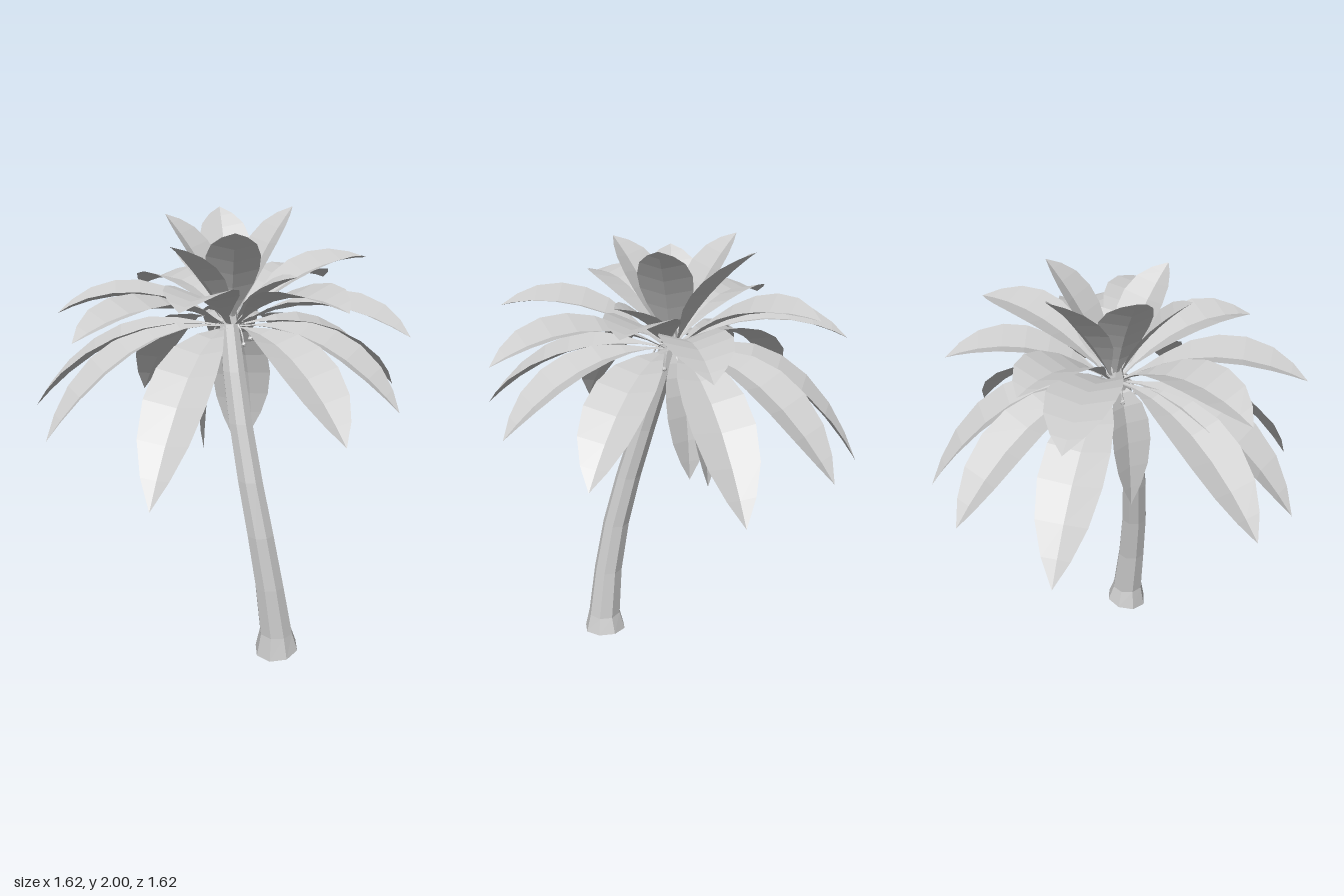
import * as THREE from 'three';

const grey = new THREE.MeshStandardMaterial({ color: 0xcccccc, side: THREE.DoubleSide, flatShading: true });
grey.name = 'pale grey';

// Skin a list of equal-length point rows into a surface
function skin(rows, closed) {
  const n = rows[0].length, index = [];
  for (let i = 0; i < rows.length - 1; i++) {
    for (let j = 0; j < (closed ? n : n - 1); j++) {
      const k = (j + 1) % n, a = i * n + j, b = i * n + k, c = a + n, d = b + n;
      index.push(a, c, b, b, c, d);
    }
  }
  const geo = new THREE.BufferGeometry().setFromPoints(rows.flat());
  geo.setIndex(index);
  geo.computeVertexNormals();
  return geo;
}

function add(group, name, geo) {
  const mesh = new THREE.Mesh(geo, grey);
  mesh.name = name;
  group.add(mesh);
  return mesh;
}

// Half width of a frond from stem to tip
const outline = [[0, 0.06], [0.12, 0.14], [0.24, 0.45], [0.38, 0.8], [0.52, 0.98],
  [0.66, 1], [0.8, 0.82], [0.91, 0.46], [1, 0]];

// Frond: a gutter-shaped blade along a bent midrib, tip given as x, y, z
function frond([x, y, z], reach, ctrlY, width) {
  const curve = new THREE.QuadraticBezierCurve3(
    new THREE.Vector3(x * 0.03, 1.5, z * 0.03),
    new THREE.Vector3(x * reach, ctrlY, z * reach),
    new THREE.Vector3(x, y, z));
  const side = new THREE.Vector3(z, 0, -x).normalize();
  const rows = outline.map(([t, w]) => {
    const p = curve.getPoint(t);
    const up = curve.getTangent(t).cross(side).normalize();
    if (up.y < 0) up.negate();
    const lift = up.multiplyScalar(w * width * 0.3);
    return [-1, 0, 1].map(s => p.clone()
      .addScaledVector(side, s * w * width)
      .addScaledVector(lift, Math.abs(s)));
  });
  return skin(rows, false);
}

export function createModel() {
  const model = new THREE.Group();
  model.name = 'palmTree';

  // Trunk: leaning octagonal rings as x, y, z, radius, open at the foot
  const rings = [[-0.05, 0.016, 0.33, 0.102], [-0.055, 0.11, 0.33, 0.078], [-0.075, 0.35, 0.302, 0.068],
    [-0.088, 0.6, 0.255, 0.063], [-0.087, 0.85, 0.19, 0.059], [-0.07, 1.1, 0.118, 0.055],
    [-0.045, 1.32, 0.055, 0.051], [-0.015, 1.52, 0.0, 0.044]];
  const rows = rings.map(([x, y, z, r], i) => Array.from({ length: 8 }, (_, k) => {
    const a = (k + 0.5) * Math.PI / 4, dx = r * Math.cos(a);
    return new THREE.Vector3(x + dx, y + (i === 0 ? 0.16 * dx : 0), z + r * Math.sin(a));
  }));
  add(model, 'trunk', skin(rows, true));

  // Lower fronds arch out and droop
  const lower = [[0.21, 0.99, -0.81], [0.62, 1.1, -0.57], [0.81, 1.04, -0.16], [0.66, 1.17, 0.43],
    [0.22, 1.21, 0.75], [-0.24, 1.2, 0.81], [-0.81, 0.97, 0.31], [-0.76, 1.07, -0.38], [-0.59, 1.13, -0.66]];
  // Middle fronds rise before bending over
  const middle = [[0.16, 1.56, -0.74], [0.34, 1.7, -0.56], [0.72, 1.61, -0.04], [0.6, 1.76, 0.29],
    [0.22, 1.54, 0.78], [-0.13, 1.69, 0.72], [-0.59, 1.7, 0.27], [-0.81, 1.56, -0.1], [-0.55, 1.57, -0.52]];
  // Inner fronds stand up
  const inner = [[-0.1, 1.97, -0.3], [0.25, 1.97, -0.3], [0.29, 2, 0.1], [-0.32, 1.88, -0.05],
    [-0.22, 1.95, 0.22], [0.13, 1.73, 0.26]];
  // Old fronds hang beside the trunk
  const hanging = [[0.17, 0.89, -0.14], [-0.08, 0.92, -0.1], [0.2, 0.95, -0.05]];

  lower.forEach(t => add(model, 'lowerFrond', frond(t, 0.55, 1.58, 0.135)));
  middle.forEach(t => add(model, 'middleFrond', frond(t, 0.5, t[1] > 1.65 ? 1.78 : 1.75, 0.14)));
  inner.forEach(t => add(model, 'innerFrond', frond(t, 0.38, (1.5 + t[1]) / 2 + 0.04, 0.115)));
  hanging.forEach(t => add(model, 'hangingFrond', frond(t, 0.8, 1.46, 0.1)));

  // Crown core and short stalks with pods
  const core = add(model, 'crownCore', new THREE.CylinderGeometry(0.025, 0.042, 0.08, 6));
  core.position.set(-0.005, 1.54, 0);
  for (let i = 0; i < 5; i++) {
    const a = i * Math.PI * 0.4 + 0.5, c = Math.cos(a), s = Math.sin(a);
    const path = new THREE.QuadraticBezierCurve3(
      new THREE.Vector3(0.02 * c, 1.52, 0.02 * s),
      new THREE.Vector3(0.07 * c, 1.53, 0.07 * s),
      new THREE.Vector3(0.09 * c, 1.44, 0.09 * s));
    add(model, 'podStalk', new THREE.TubeGeometry(path, 4, 0.004, 4));
    const pod = add(model, 'pod', new THREE.IcosahedronGeometry(0.012, 0));
    pod.position.set(0.09 * c, 1.435, 0.09 * s);
  }
  return model;
}
